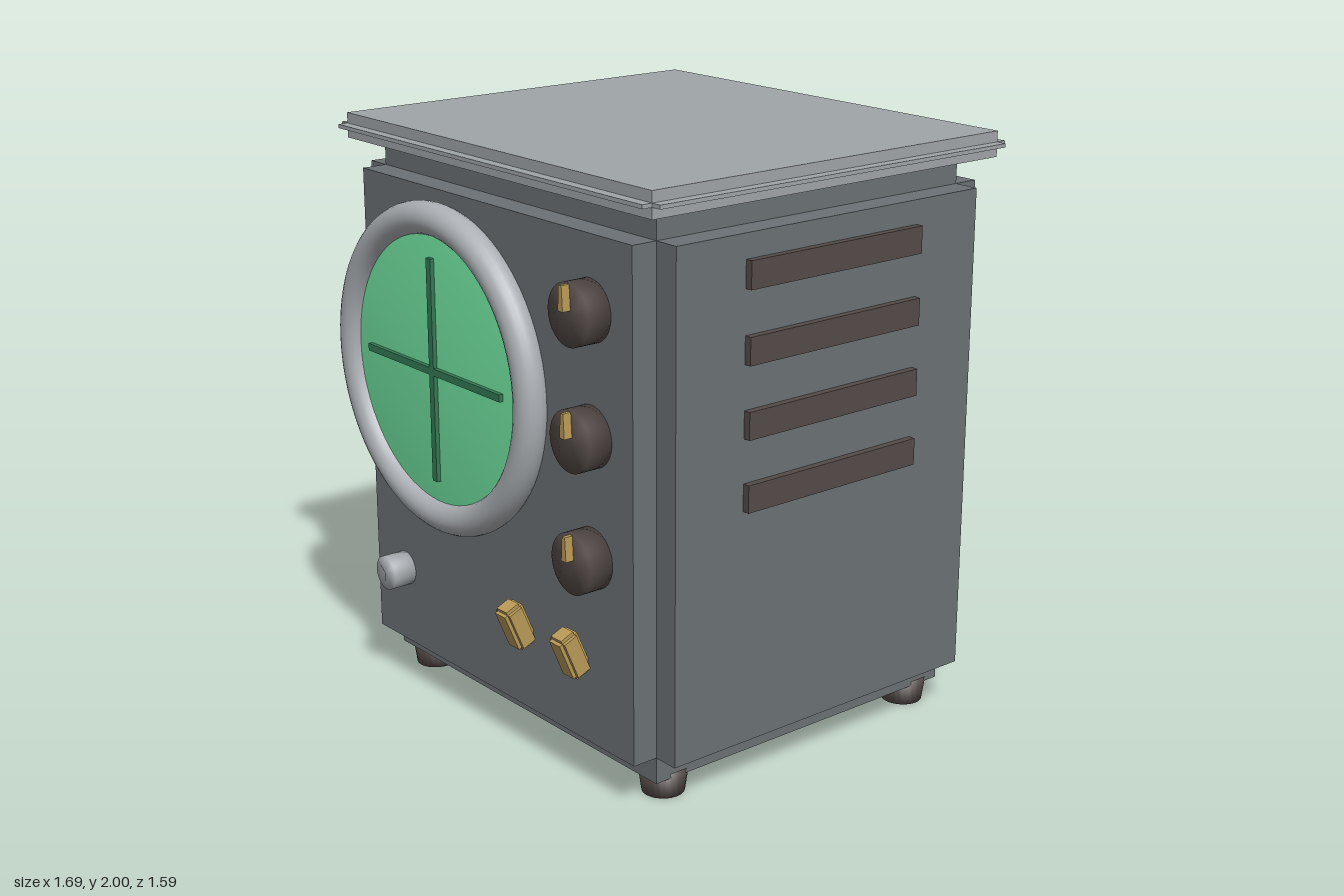
import * as THREE from 'three';

const mat = (name, color) => {
  const m = new THREE.MeshStandardMaterial({ color });
  m.name = name;
  return m;
};

export function createModel() {
  const casing = mat('slate casing', 0x6b7175);
  const lidGrey = mat('lid grey', 0xa0a5a8);
  const steel = mat('pale steel', 0xacb0b4);
  const dark = mat('dark brown', 0x544b48);
  const brass = mat('brass', 0xba9a58);
  const green = mat('screen green', 0x72e4a2);
  const deepGreen = mat('crosshair green', 0x347c55);

  const root = new THREE.Group();
  root.name = 'scopeCabinet';
  const FRONT = 0.685; // front face of the casing

  const add = (name, geo, material, x, y, z, parent = root) => {
    const mesh = new THREE.Mesh(geo, material);
    mesh.name = name;
    mesh.position.set(x, y, z);
    parent.add(mesh);
    return mesh;
  };

  // Box with stepped edges: three crossing boxes, each full length on one axis
  const steppedBox = (name, size, inset, material, x, y, z) => {
    const group = new THREE.Group();
    group.name = name;
    group.position.set(x, y, z);
    for (let axis = 0; axis < 3; axis++) {
      const s = size.map((v, i) => (i === axis ? v : v - 2 * inset));
      add(name + 'Block', new THREE.BoxGeometry(...s), material, 0, 0, 0, group);
    }
    root.add(group);
    return group;
  };

  // Softly shaded disc, its cap blending into its rim, facing up the y axis
  const softDisc = (rTop, rBottom, h, segments = 48) => new THREE.LatheGeometry([
    new THREE.Vector2(0, 0), new THREE.Vector2(rBottom, 0),
    new THREE.Vector2(rTop, h), new THREE.Vector2(0, h),
  ], segments);
  const frontDisc = (name, r, depth, material, x, y) => {
    add(name, softDisc(r, r, depth), material, x, y, FRONT).rotation.x = Math.PI / 2;
  };

  // Cabinet and lid
  steppedBox('casing', [1.62, 1.84, 1.44], 0.09, casing, 0, 0.995, -0.035);
  steppedBox('lid', [1.69, 0.085, 1.51], 0.036, lidGrey, 0, 1.9575, -0.035);

  // Feet
  for (const x of [-0.645, 0.645]) {
    for (const z of [0.505, -0.577]) {
      add('foot', softDisc(0.083, 0.07, 0.09, 24), dark, x, 0, z);
    }
  }

  // Round screen with its ring and crosshair
  const sx = -0.255, sy = 1.23;
  frontDisc('screen', 0.475, 0.045, green, sx, sy);
  add('screenRing', new THREE.TorusGeometry(0.505, 0.055, 20, 72), steel, sx, sy, 0.715);
  add('crosshairBar', new THREE.BoxGeometry(0.76, 0.025, 0.02), deepGreen, sx, sy, 0.735);
  add('crosshairPost', new THREE.BoxGeometry(0.025, 0.76, 0.02), deepGreen, sx, sy, 0.735);

  // Knobs with tapered pointers
  const pointer = new THREE.ExtrudeGeometry(new THREE.Shape([
    new THREE.Vector2(-0.012, 0.015), new THREE.Vector2(0.012, 0.015),
    new THREE.Vector2(0.007, 0.095), new THREE.Vector2(-0.007, 0.095),
  ]), { depth: 0.04, bevelEnabled: false });
  for (const y of [1.59, 1.195, 0.8]) {
    frontDisc('knob', 0.1, 0.083, dark, 0.52, y);
    add('knobPointer', pointer, brass, 0.52, y, 0.757);
  }

  // Tilted toggle switches
  for (const x of [0.175, 0.465]) {
    steppedBox('toggle', [0.078, 0.16, 0.075], 0.012, brass, x, 0.475, 0.735).rotation.x = 0.4;
  }

  // Indicator lamp
  frontDisc('lamp', 0.06, 0.083, steel, -0.545, 0.437);

  // Side vents
  for (let i = 0; i < 4; i++) {
    add('vent', new THREE.BoxGeometry(0.05, 0.09, 0.72), dark, 0.81, 1.7 - i * 0.235, -0.035);
  }
  return root;
}
